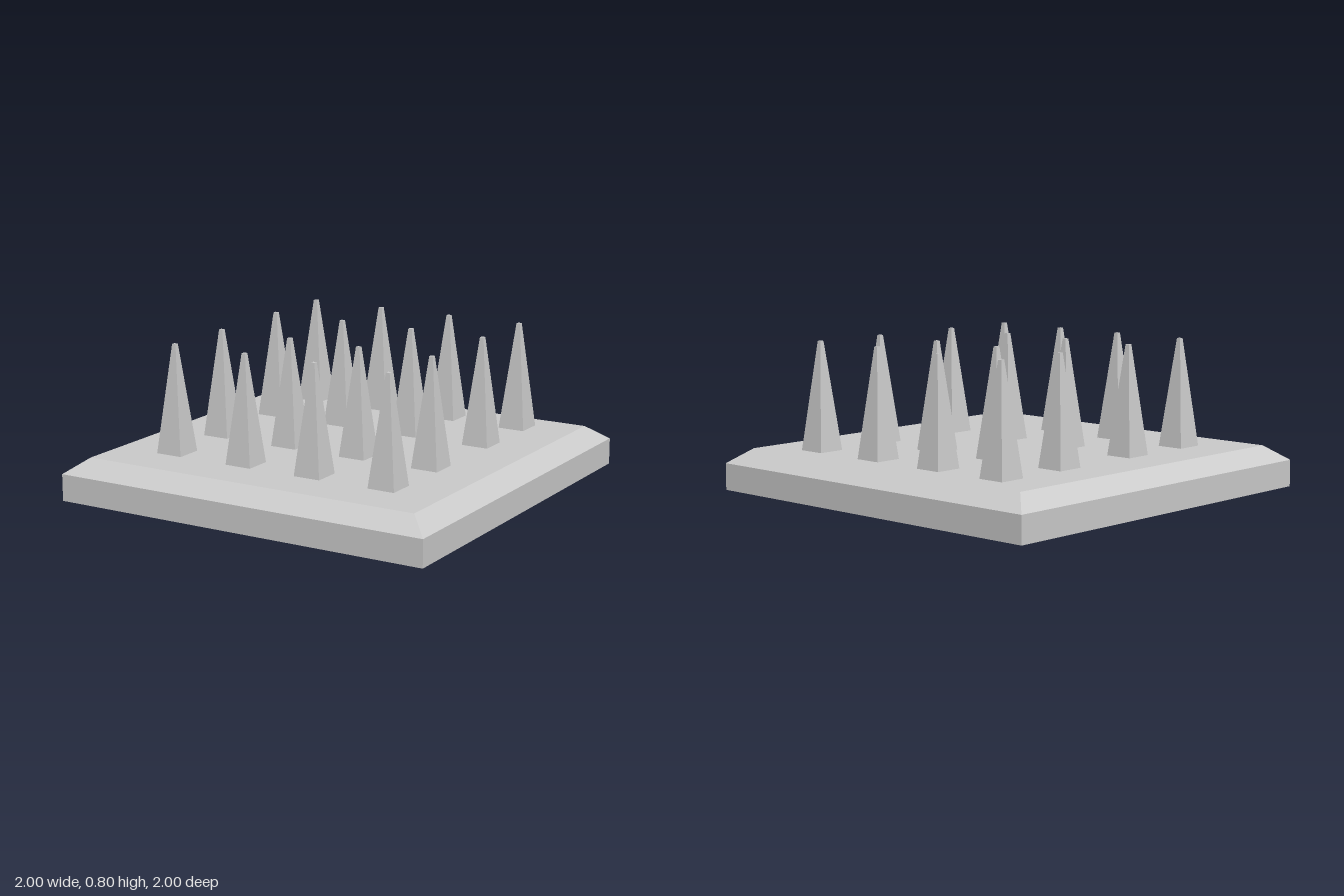
import * as THREE from 'three';

const material = new THREE.MeshStandardMaterial({ color: 0xcccccc, flatShading: true });

// Square frustum standing on y = 0, given its half widths
function squareFrustum(topHalf, bottomHalf, height) {
  const geometry = new THREE.CylinderGeometry(topHalf * Math.SQRT2, bottomHalf * Math.SQRT2, height, 4);
  return geometry.rotateY(Math.PI / 4).translate(0, height / 2, 0);
}

// Square block with a bevelled rim, built as one closed shell of square rings
function plateGeometry() {
  const profile = [[0, 0.05], [1, 0.05], [1, 0.185], [0.9, 0.26], [0, 0.26]]
    .map(([half, y]) => new THREE.Vector2(half * Math.SQRT2, y));
  return new THREE.LatheGeometry(profile, 4).rotateY(Math.PI / 4).toNonIndexed();
}

export function createModel() {
  const model = new THREE.Group();
  model.name = 'spikeTrap';

  const plate = new THREE.Mesh(plateGeometry(), material);
  plate.name = 'basePlate';
  model.add(plate);

  // Spikes pass through the plate, their feet showing below it
  const spikes = new THREE.Group();
  spikes.name = 'spikes';
  const spikeGeometry = squareFrustum(0.01, 0.099, 0.803);
  const rows = [
    { z: -0.71, xs: [-0.609, -0.205, 0.202, 0.606] },
    { z: -0.31, xs: [-0.607, -0.203, 0.2, 0.604] },
    { z: 0.197, xs: [-0.602, -0.197, 0.196, 0.598] },
    { z: 0.6, xs: [-0.6, -0.195, 0.193, 0.595] },
  ];
  for (const { z, xs } of rows) {
    for (const x of xs) {
      const spike = new THREE.Mesh(spikeGeometry, material);
      spike.name = 'spike';
      spike.position.set(x, 0, z);
      spikes.add(spike);
    }
  }
  model.add(spikes);
  return model;
}
